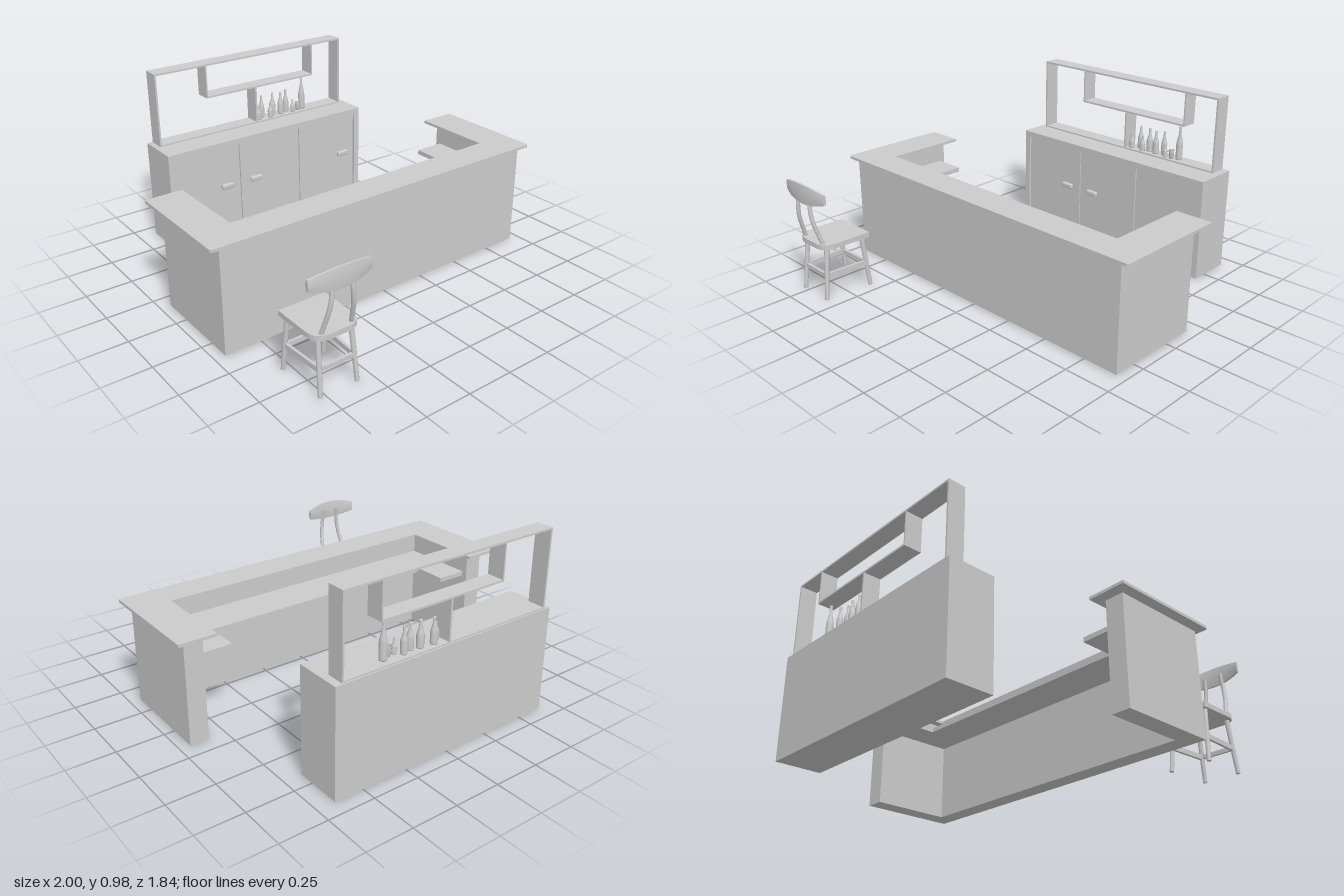
import * as THREE from 'three';
import { RoundedBoxGeometry } from 'three/addons/geometries/RoundedBoxGeometry.js';

const mat = new THREE.MeshStandardMaterial({ color: 0xcccccc });

function add(parent, name, geometry) {
  const mesh = new THREE.Mesh(geometry, mat);
  mesh.name = name;
  parent.add(mesh);
  return mesh;
}

function group(parent, name) {
  const g = new THREE.Group();
  g.name = name;
  parent.add(g);
  return g;
}

// box given by its minimum and maximum on each axis
function box(parent, name, x0, x1, y0, y1, z0, z1) {
  const mesh = add(parent, name, new THREE.BoxGeometry(x1 - x0, y1 - y0, z1 - z0));
  mesh.position.set((x0 + x1) / 2, (y0 + y1) / 2, (z0 + z1) / 2);
  return mesh;
}

// round bar between two points
function bar(parent, name, a, b, rA, rB = rA) {
  const from = new THREE.Vector3(...a), to = new THREE.Vector3(...b);
  const dir = to.clone().sub(from);
  const mesh = add(parent, name, new THREE.CylinderGeometry(rB, rA, dir.length(), 12));
  mesh.position.copy(from).add(to).multiplyScalar(0.5);
  mesh.quaternion.setFromUnitVectors(new THREE.Vector3(0, 1, 0), dir.normalize());
}

// horizontal slab extruded upward from a plan whose y is -z
function slab(parent, name, shape, y0, y1) {
  const geo = new THREE.ExtrudeGeometry(shape, { depth: y1 - y0, bevelEnabled: false, curveSegments: 8 });
  geo.rotateX(-Math.PI / 2);
  add(parent, name, geo).position.y = y0;
}

// U-shaped plan, open to the back, with optional rounded front corners
function uShape(outX, inX, back, inFront, front, r = 0) {
  const s = new THREE.Shape();
  s.moveTo(-outX, -back);
  s.lineTo(-outX, -front + r);
  if (r) s.quadraticCurveTo(-outX, -front, -outX + r, -front);
  s.lineTo(outX - r, -front);
  if (r) s.quadraticCurveTo(outX, -front, outX, -front + r);
  s.lineTo(outX, -back);
  s.lineTo(inX, -back);
  s.lineTo(inX, -inFront);
  s.lineTo(-inX, -inFront);
  s.lineTo(-inX, -back);
  s.closePath();
  return s;
}

function buildCounter(root) {
  const g = group(root, 'barCounter');
  slab(g, 'counterWall', uShape(0.945, 0.845, -0.165, 0.275, 0.375), 0, 0.562);
  slab(g, 'counterTop', uShape(1, 0.8, -0.225, 0.225, 0.4, 0.015), 0.562, 0.577);
  slab(g, 'workShelf', uShape(0.85, 0.675, -0.135, 0.055, 0.28), 0.425, 0.45);
}

function buildCabinet(root) {
  const g = group(root, 'backCabinet');
  const L = -0.65, R = 0.655, B = -0.92, F = -0.67, T = 0.565, t = 0.035;
  box(g, 'cabinetBody', L, R, 0, T, B, F - 0.02);
  // raised frame around the doors
  box(g, 'cabinetTopRail', L, R, T - t, T, F - 0.02, F);
  box(g, 'cabinetBottomRail', L, R, 0, t, F - 0.02, F);
  box(g, 'cabinetLeftRail', R - t, R, t, T - t, F - 0.02, F);
  box(g, 'cabinetRightRail', L, L + t, t, T - t, F - 0.02, F);
  // three doors with block handles
  const w = (R - L - 2 * t) / 3;
  [0.32, 0.1, 0.32].forEach((handleX, i) => {
    const x = L + t + i * w;
    box(g, 'cabinetDoor', x + 0.003, x + w - 0.003, t + 0.003, T - t - 0.003, F - 0.02, F - 0.01);
    const handle = add(g, 'doorHandle', new RoundedBoxGeometry(0.075, 0.03, 0.025, 3, 0.008));
    handle.position.set(x + handleX, 0.295, F);
  });
}

function buildRack(root) {
  const g = group(root, 'displayRack');
  const B = -0.913, F = -0.82, t = 0.01;
  const panel = (name, x0, x1, y0, y1) => box(g, name, x0, x1, y0, y1, B, F);
  panel('rackBase', -0.62, 0.615, 0.565, 0.573);
  panel('rackTop', -0.62, 0.615, 0.98 - t, 0.98);
  panel('rackRightPost', -0.62, -0.62 + t, 0.573, 0.97);
  panel('rackLeftPost', 0.615 - t, 0.615, 0.573, 0.97);
  panel('hangingShelf', -0.312, 0.412, 0.783, 0.783 + t);
  panel('hangingRightSide', -0.312, -0.304, 0.793, 0.97);
  panel('hangingLeftSide', 0.404, 0.412, 0.793, 0.97);
  panel('rackDivider', 0.005, 0.015, 0.573, 0.783);
}

function buildBottles(root) {
  const g = group(root, 'bottles');
  const Y = 0.573;
  // x, z, height, radius
  const bottles = [
    [0.04, -0.85, 0.085, 0.016], [0.08, -0.88, 0.133, 0.017], [0.12, -0.845, 0.09, 0.016],
    [0.152, -0.87, 0.135, 0.018], [0.203, -0.86, 0.133, 0.018], [0.25, -0.875, 0.138, 0.017],
    [0.28, -0.845, 0.075, 0.014], [0.36, -0.865, 0.195, 0.019],
  ];
  const profile = [[0, 0], [0.95, 0], [1, 0.03], [1, 0.45], [0.85, 0.55], [0.42, 0.75], [0.35, 0.95], [0.42, 0.95], [0.42, 1], [0, 1]];
  for (const [x, z, h, r] of bottles) {
    const points = profile.map(([a, b]) => new THREE.Vector2(a * r, b * h));
    add(g, 'bottle', new THREE.LatheGeometry(points, 16)).position.set(x, Y, z);
  }
  // small cup with a ring handle
  const cup = [[0, 0], [0.013, 0], [0.015, 0.05], [0.012, 0.05], [0.011, 0.005], [0, 0.005]];
  add(g, 'cup', new THREE.LatheGeometry(cup.map(p => new THREE.Vector2(...p)), 16)).position.set(0.32, Y, -0.85);
  add(g, 'cupHandle', new THREE.TorusGeometry(0.012, 0.003, 6, 16)).position.set(0.302, Y + 0.028, -0.85);
}

function buildChair(root) {
  const g = group(root, 'barChair');
  g.position.x = -0.678;
  // seat, square toward the counter and rounded at the backrest
  const s = new THREE.Shape();
  const w = 0.125, f = 0.612, b = 0.892, r = 0.08;
  s.moveTo(-w, -f);
  s.lineTo(-w, -b + r);
  s.quadraticCurveTo(-w, -b, -w + r, -b);
  s.lineTo(w - r, -b);
  s.quadraticCurveTo(w, -b, w, -b + r);
  s.lineTo(w, -f);
  s.closePath();
  slab(g, 'seat', s, 0.283, 0.31);

  // splayed legs, side stretchers and curved back posts
  for (const m of [-1, 1]) {
    bar(g, 'frontLeg', [m * 0.112, 0, 0.617], [m * 0.1, 0.29, 0.645], 0.011, 0.013);
    bar(g, 'rearLeg', [m * 0.1, 0, 0.884], [m * 0.088, 0.29, 0.852], 0.011, 0.013);
    const side = box(g, 'sideStretcher', m * 0.1 - 0.007, m * 0.1 + 0.007, 0.12, 0.147, 0.63, 0.87);
    side.rotation.y = -m * 0.05;
    const path = new THREE.CatmullRomCurve3([
      [0.082, 0.295, 0.863], [0.073, 0.36, 0.882], [0.064, 0.43, 0.902], [0.055, 0.5, 0.908], [0.05, 0.58, 0.9],
    ].map(([x, y, z]) => new THREE.Vector3(m * x, y, z)));
    add(g, 'backPost', new THREE.TubeGeometry(path, 20, 0.011, 10));
  }
  box(g, 'frontStretcher', -0.1, 0.1, 0.123, 0.145, 0.624, 0.638);
  box(g, 'rearStretcher', -0.095, 0.095, 0.123, 0.145, 0.861, 0.875);

  // backrest: a bowed board, taller in the middle
  const geo = new THREE.BoxGeometry(0.33, 0.104, 0.018, 24, 6, 1);
  const p = geo.attributes.position;
  for (let i = 0; i < p.count; i++) {
    const u = p.getX(i) / 0.165, v = p.getY(i) / 0.052;
    p.setY(i, v * (0.052 - 0.024 * u * u));
    p.setZ(i, p.getZ(i) * (1 - 0.4 * v * v) - 0.024 * u * u);
  }
  geo.computeVertexNormals();
  add(g, 'backrest', geo).position.set(0, 0.578, 0.913);
}

export function createModel() {
  const root = new THREE.Group();
  root.name = 'homeBar';
  buildCounter(root);
  buildCabinet(root);
  buildRack(root);
  buildBottles(root);
  buildChair(root);
  return root;
}
